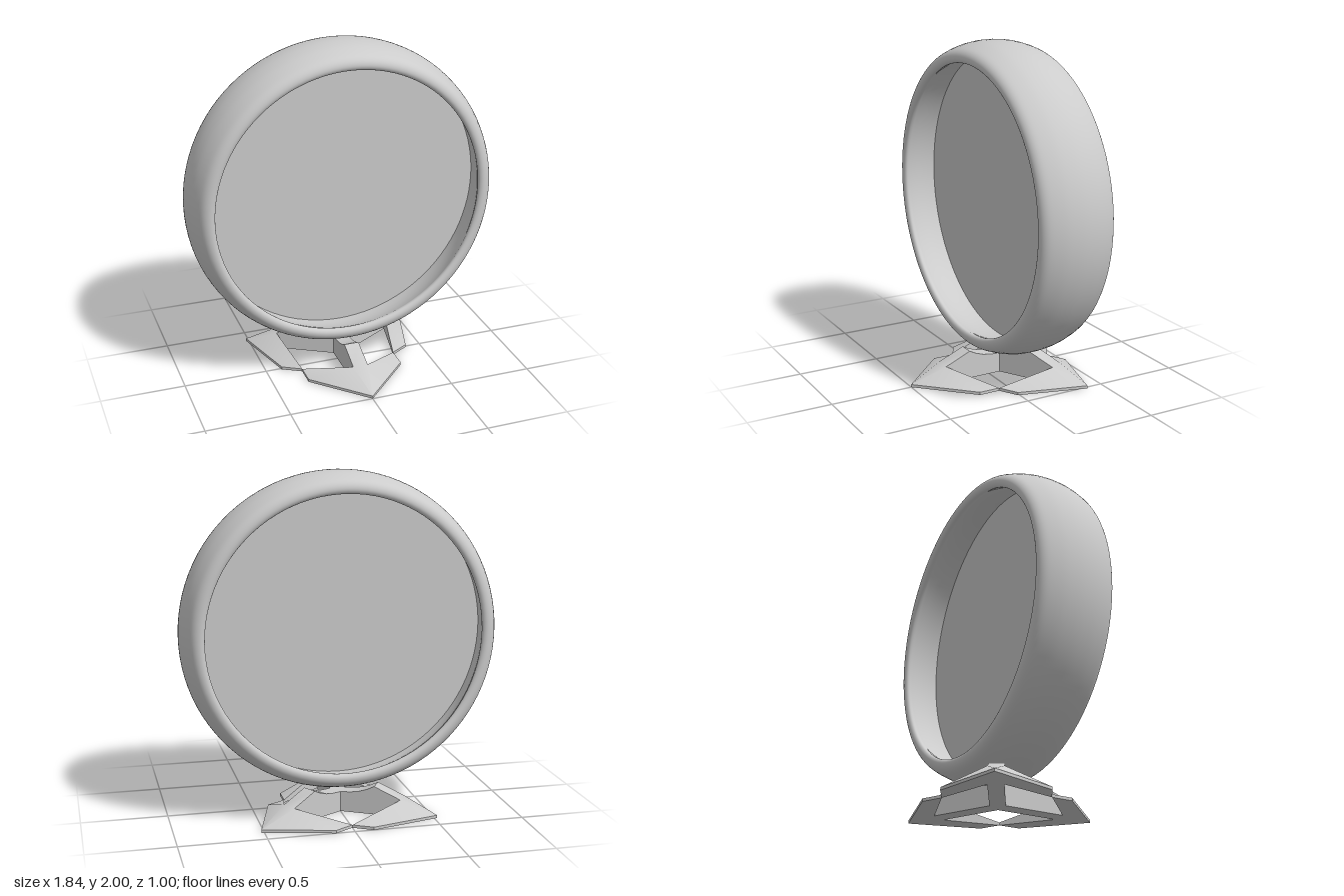
import * as THREE from 'three';
import { toCreasedNormals } from 'three/addons/utils/BufferGeometryUtils.js';

const material = (options) => new THREE.MeshStandardMaterial({ color: 0xcccccc, ...options });

// Turn convex plan cells (corners carry the top height) into a solid standing on y = 0.
// Edges used by one cell only become vertical walls.
function solidFromCells(cells) {
  const pos = [];
  const tri = (a, b, c) => pos.push(...a, ...b, ...c);
  const floor = ([x, , z]) => [x, 0, z];
  const key = (a) => `${Math.round(a[0] * 500)},${Math.round(a[2] * 500)}`;
  const edges = new Map();
  for (let cell of cells) {
    const [a, b, c] = cell;
    const up = (b[2] - a[2]) * (c[0] - a[0]) - (b[0] - a[0]) * (c[2] - a[2]);
    if (up < 0) cell = [...cell].reverse();
    for (let i = 1; i < cell.length - 1; i++) {
      tri(cell[0], cell[i], cell[i + 1]);
      tri(floor(cell[0]), floor(cell[i + 1]), floor(cell[i]));
    }
    cell.forEach((p, i) => {
      const q = cell[(i + 1) % cell.length];
      const twin = `${key(q)}|${key(p)}`;
      if (edges.has(twin)) edges.delete(twin);
      else edges.set(`${key(p)}|${key(q)}`, [p, q]);
    });
  }
  for (const [p, q] of edges.values()) {
    tri(p, floor(p), floor(q));
    tri(p, floor(q), q);
  }
  const geometry = new THREE.BufferGeometry();
  geometry.setAttribute('position', new THREE.Float32BufferAttribute(pos, 3));
  return toCreasedNormals(geometry, 0.6);
}

// One leg pointing to +z: arrowhead foot plus a spoke with a cradle dip
function legCells() {
  const w = 0.045;
  const rim = 0.017;
  const spoke = [[0.388, 0.103], [0.23, 0.17], [0.185, 0.148], [0.14, 0.133], [0.09, 0.124], [0.026, 0.12]];
  const tip = [0, rim, 0.597];
  const cells = [];
  const at = (i, side) => [side * w, spoke[i][1], spoke[i][0]];
  cells.push([tip, at(0, 1), at(0, -1)]);
  for (const side of [-1, 1]) {
    const corner = [side * 0.295, rim, 0.297];
    const notch = [side * 0.295, rim, 0.1703];
    cells.push([tip, corner, at(0, side)], [corner, notch, at(0, side)]);
  }
  for (let i = 0; i < spoke.length - 1; i++) {
    cells.push([at(i, -1), at(i, 1), at(i + 1, 1), at(i + 1, -1)]);
  }
  const last = spoke.length - 1;
  cells.push([at(last, -1), at(last, 1), [0, 0.12, 0]]);
  return cells;
}

function makeBase() {
  const cells = [];
  for (let k = 0; k < 3; k++) {
    const c = Math.cos((k * 2 * Math.PI) / 3), s = Math.sin((k * 2 * Math.PI) / 3);
    for (const cell of legCells()) {
      cells.push(cell.map(([x, y, z]) => [x * c + z * s, y, z * c - x * s]));
    }
  }
  const base = new THREE.Mesh(solidFromCells(cells), material());
  base.name = 'tripodBase';
  base.position.z = -0.097;
  return base;
}

// Curved shell ring: half profile (radius, depth) from the hollow inside,
// round the lip and over the outside, mirrored and lathed around z
function makeRing() {
  const half = [
    [0.85, 0], [0.846, 0.06], [0.834, 0.12], [0.814, 0.175], [0.802, 0.2], [0.803, 0.219],
    [0.822, 0.23], [0.847, 0.226], [0.87, 0.208], [0.888, 0.175], [0.908, 0.115], [0.918, 0.06],
  ];
  const points = [
    ...half.map(([r, d]) => new THREE.Vector2(r, -d)),
    new THREE.Vector2(0.922, 0),
    ...[...half].reverse().map(([r, d]) => new THREE.Vector2(r, d)),
  ];
  const profile = new THREE.SplineCurve(points).getPoints(72);
  const geometry = new THREE.LatheGeometry(profile, 96);
  geometry.rotateX(Math.PI / 2);
  const ring = new THREE.Mesh(geometry, material());
  ring.name = 'ring';
  return ring;
}

// Thin panel across the middle of the ring, seen from both sides
function makePanel() {
  const panel = new THREE.Mesh(new THREE.CircleGeometry(0.852, 96), material({ side: THREE.DoubleSide }));
  panel.name = 'panel';
  return panel;
}

export function createModel() {
  const model = new THREE.Group();
  const head = new THREE.Group();
  head.name = 'head';
  head.position.set(0, 1.078, -0.09);
  head.add(makeRing(), makePanel());
  model.add(head, makeBase());
  return model;
}
